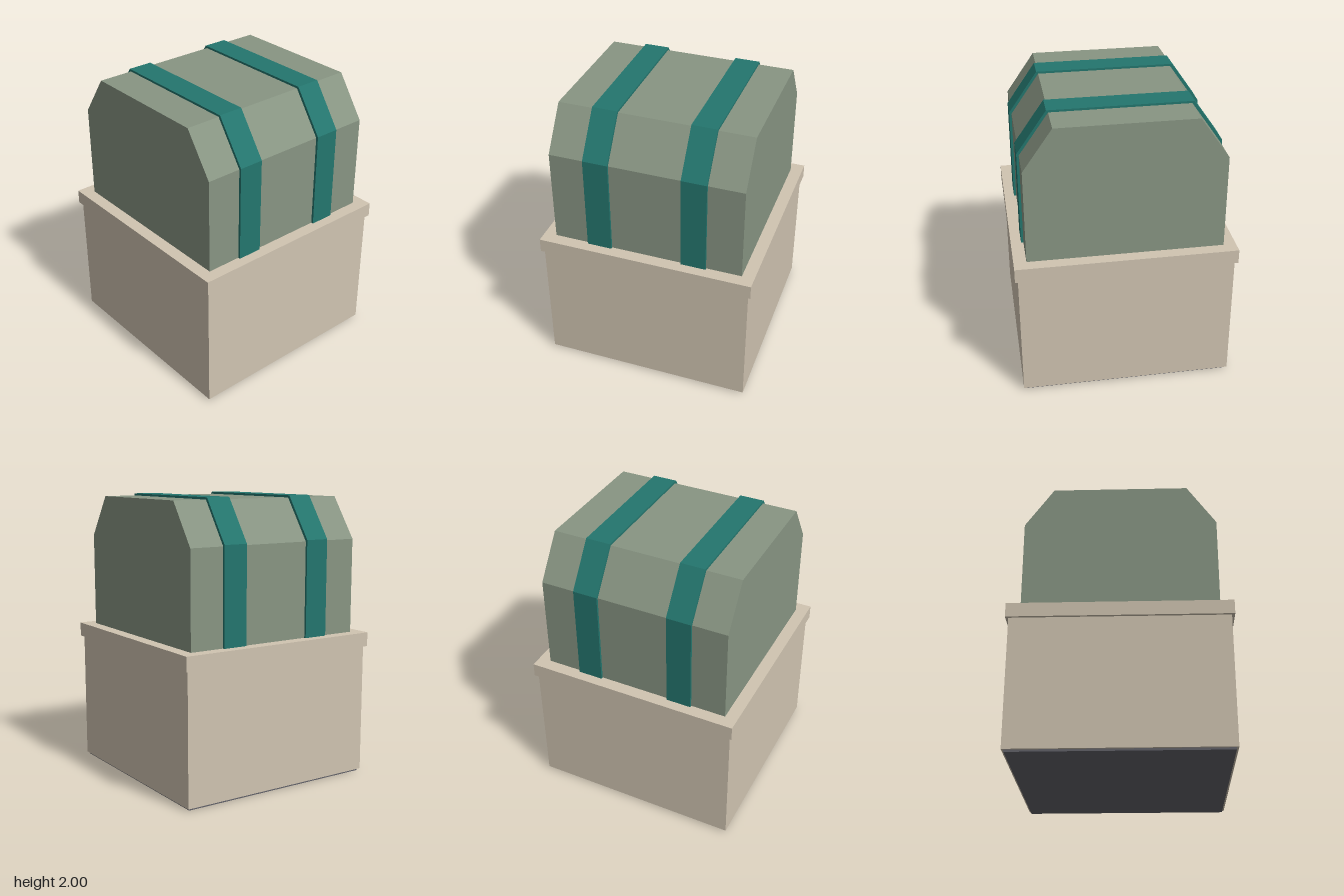
import * as THREE from 'three';

function material(name, color) {
  const m = new THREE.MeshStandardMaterial({ color });
  m.name = name;
  return m;
}

export function createModel() {
  const group = new THREE.Group();
  const beige = material('beige', 0xd0c4b1);
  const sage = material('sage green', 0x889583);
  const teal = material('teal', 0x24766e);
  const dark = material('dark grey', 0x626269);

  function add(name, geometry, mat) {
    const mesh = new THREE.Mesh(geometry, mat);
    mesh.name = name;
    group.add(mesh);
    return mesh;
  }

  // Square slab between two heights
  function slab(name, half, y0, y1, mat) {
    add(name, new THREE.BoxGeometry(half * 2, y1 - y0, half * 2), mat).position.y = (y0 + y1) / 2;
  }

  // Chamfered arch profile in z/y, extruded along x
  function arch(name, x0, x1, half, shoulder, topHalf, top, mat) {
    const shape = new THREE.Shape([
      [-half, 1.03], [half, 1.03], [half, shoulder],
      [topHalf, top], [-topHalf, top], [-half, shoulder],
    ].map(([z, y]) => new THREE.Vector2(z, y)));
    const geo = new THREE.ExtrudeGeometry(shape, { depth: x1 - x0, bevelEnabled: false });
    geo.rotateY(Math.PI / 2);
    geo.translate(x0, 0, 0);
    add(name, geo, mat);
  }

  // Container
  slab('footPlate', 0.725, 0, 0.015, dark);
  slab('boxBody', 0.74, 0.015, 0.93, beige);
  slab('boxRim', 0.76, 0.93, 1.03, beige);

  // Chamfered load with two straps over it
  arch('load', -0.673, 0.673, 0.673, 1.695, 0.472, 1.985, sage);
  arch('rightStrap', -0.427, -0.252, 0.689, 1.705, 0.485, 2, teal);
  arch('leftStrap', 0.25, 0.425, 0.689, 1.705, 0.485, 2, teal);

  return group;
}
